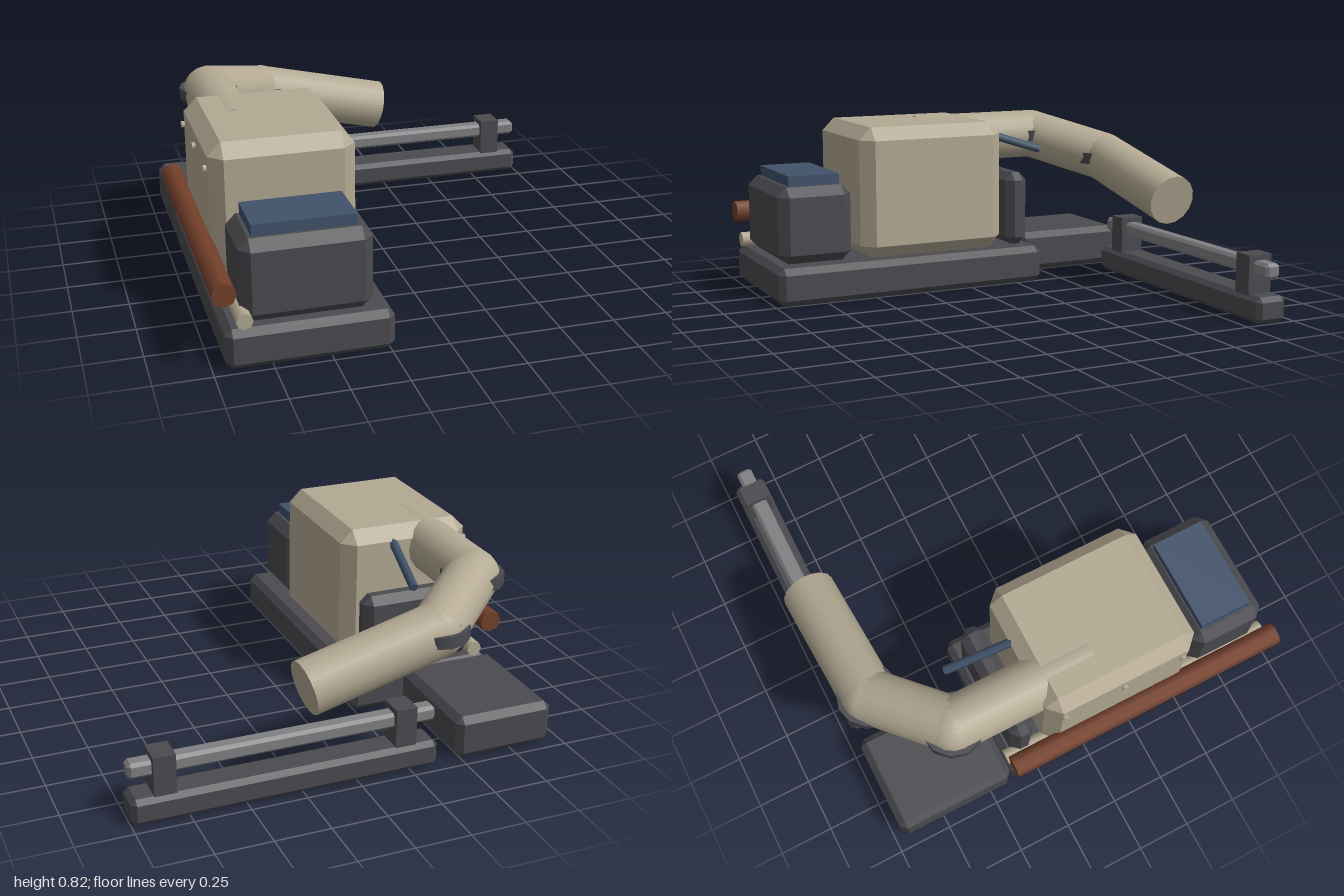
import * as THREE from 'three';
import { ConvexGeometry } from 'three/addons/geometries/ConvexGeometry.js';

const mat = (name, color) => {
  const m = new THREE.MeshStandardMaterial({ color });
  m.name = name;
  return m;
};

// Box given by its limits, with every edge cut by a flat chamfer c
function chamferBox([x0, x1], [y0, y1], [z0, z1], c) {
  const h = [(x1 - x0) / 2, (y1 - y0) / 2, (z1 - z0) / 2];
  const points = [];
  for (const sx of [-1, 1]) for (const sy of [-1, 1]) for (const sz of [-1, 1])
    for (let full = 0; full < 3; full++) {
      const d = h.map((v, i) => (i === full ? v : v - c));
      points.push(new THREE.Vector3(sx * d[0], sy * d[1], sz * d[2]));
    }
  return new ConvexGeometry(points).translate((x0 + x1) / 2, (y0 + y1) / 2, (z0 + z1) / 2);
}

// Straight cylinder between two points
function rod(a, b, radius, sides) {
  const dir = b.clone().sub(a);
  const g = new THREE.CylinderGeometry(radius, radius, dir.length(), sides);
  g.applyQuaternion(new THREE.Quaternion().setFromUnitVectors(
    new THREE.Vector3(0, 1, 0), dir.clone().normalize()));
  const mid = a.clone().add(b).multiplyScalar(0.5);
  return g.translate(mid.x, mid.y, mid.z);
}

export function createModel() {
  const beige = mat('beige paint', 0xb3a993);
  const dark = mat('dark grey metal', 0x4b4a4f);
  const blue = mat('blue panel', 0x41526a);
  const rust = mat('rust pipe', 0x74402a);
  const steel = mat('steel', 0x807f82);
  const v = (x, y, z) => new THREE.Vector3(x, y, z);

  const model = new THREE.Group();
  model.name = 'machine';
  const add = (name, geometry, material, parent = model) => {
    const mesh = new THREE.Mesh(geometry, material);
    mesh.name = name;
    parent.add(mesh);
    return mesh;
  };

  // Plinths
  add('mainBase', chamferBox([-0.945, -0.23], [0, 0.18], [-0.385, 0.985], 0.03), dark);
  add('rearBase', chamferBox([-0.945, -0.475], [0, 0.2], [-0.96, -0.39], 0.03), dark);

  // Housing, with bolts on its right side
  add('housing', chamferBox([-0.91, -0.27], [0.18, 0.81], [-0.19, 0.55], 0.06), beige);
  for (const z of [-0.12, 0.175, 0.465])
    add('housingBolt', rod(v(-0.9, 0.69, z), v(-0.925, 0.69, z), 0.016, 8), beige);

  // Front and rear units
  add('frontUnit', chamferBox([-0.87, -0.31], [0.18, 0.545], [0.59, 0.95], 0.045), dark);
  add('frontPanel', new THREE.BoxGeometry(0.44, 0.06, 0.25).translate(-0.59, 0.565, 0.765), blue);
  add('rearUnit', chamferBox([-0.87, -0.31], [0.18, 0.545], [-0.348, -0.232], 0.038), dark);

  // Pipes along the right side
  add('largePipe', rod(v(-0.945, 0.35, -0.385), v(-0.945, 0.35, 0.99), 0.052, 8), rust);
  add('smallPipe', rod(v(-0.865, 0.22, -0.385), v(-0.865, 0.22, 0.985), 0.036, 8), beige);

  // Bent arm with rounded elbows and collars
  const arm = new THREE.Group();
  arm.name = 'arm';
  model.add(arm);
  const path = [v(-0.72, 0.692, 0.1), v(-0.72, 0.692, -0.57), v(-0.41, 0.59, -0.835), v(0.212, 0.442, -0.862)];
  for (let i = 0; i < 3; i++) add('armSegment', rod(path[i], path[i + 1], 0.124, 16), beige, arm);
  for (const p of [path[1], path[2]]) {
    add('armElbow', new THREE.SphereGeometry(0.124, 16, 12).translate(p.x, p.y, p.z), beige, arm);
    add('armCollar', new THREE.CylinderGeometry(0.143, 0.143, 0.055, 12).translate(p.x, p.y, p.z), dark, arm);
  }
  add('armStrut', rod(v(-0.52, 0.745, -0.16), v(-0.473, 0.64, -0.49), 0.021, 6), blue);

  // Low rail at the back
  const rail = new THREE.Group();
  rail.name = 'rail';
  model.add(rail);
  add('railBase', chamferBox([-0.38, 0.998], [0, 0.12], [-0.96, -0.807], 0.022), dark, rail);
  add('railBar', chamferBox([-0.38, 0.998], [0.2, 0.27], [-0.92, -0.845], 0.014), steel, rail);
  for (const x of [-0.23, 0.85])
    add('railPost', new THREE.BoxGeometry(0.097, 0.2, 0.12).translate(x, 0.195, -0.882), dark, rail);

  return model;
}
